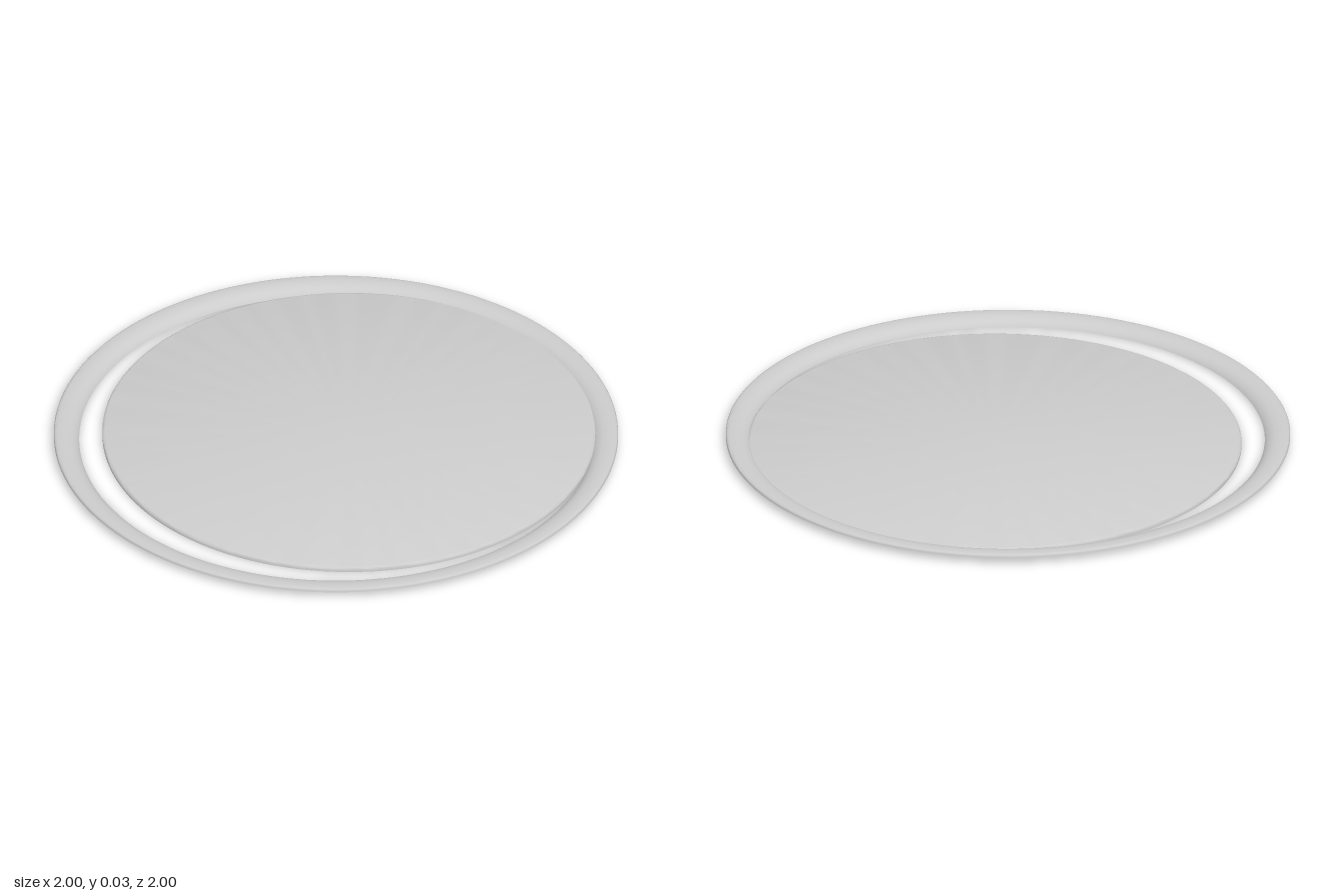
import * as THREE from 'three';
import { toCreasedNormals } from 'three/addons/utils/BufferGeometryUtils.js';

const material = new THREE.MeshStandardMaterial({ color: 0xcccccc, side: THREE.DoubleSide });

// Turned part from a closed (radius, height) outline
function turned(name, outline) {
  const points = outline.map(([r, y]) => new THREE.Vector2(r, y));
  const geometry = toCreasedNormals(new THREE.LatheGeometry(points, 128), 0.7);
  const mesh = new THREE.Mesh(geometry, material);
  mesh.name = name;
  return mesh;
}

export function createModel() {
  const group = new THREE.Group();
  group.name = 'ringAndDisc';

  // Pressed sheet ring: short outer skirt, rounded crown, lip turned down inside
  group.add(turned('outerRing', [
    [1, 0.022], [1, 0.027], [0.996, 0.032], [0.988, 0.034], [0.965, 0.034],
    [0.945, 0.031], [0.93, 0.025], [0.92, 0.017], [0.913, 0.01], [0.91, 0.005],
    [0.914, 0.005], [0.918, 0.01], [0.925, 0.016], [0.934, 0.023], [0.948, 0.028],
    [0.965, 0.031], [0.988, 0.031], [0.994, 0.029], [0.996, 0.022], [1, 0.022],
  ]));

  // Shallow lid, set towards the back under the ring
  const disc = turned('innerDisc', [
    [0.875, 0], [0.875, 0.012], [0.872, 0.016], [0.866, 0.018], [0, 0.018],
    [0, 0.014], [0.862, 0.014], [0.868, 0.01], [0.871, 0], [0.875, 0],
  ]);
  disc.position.z = -0.06;
  group.add(disc);

  return group;
}
